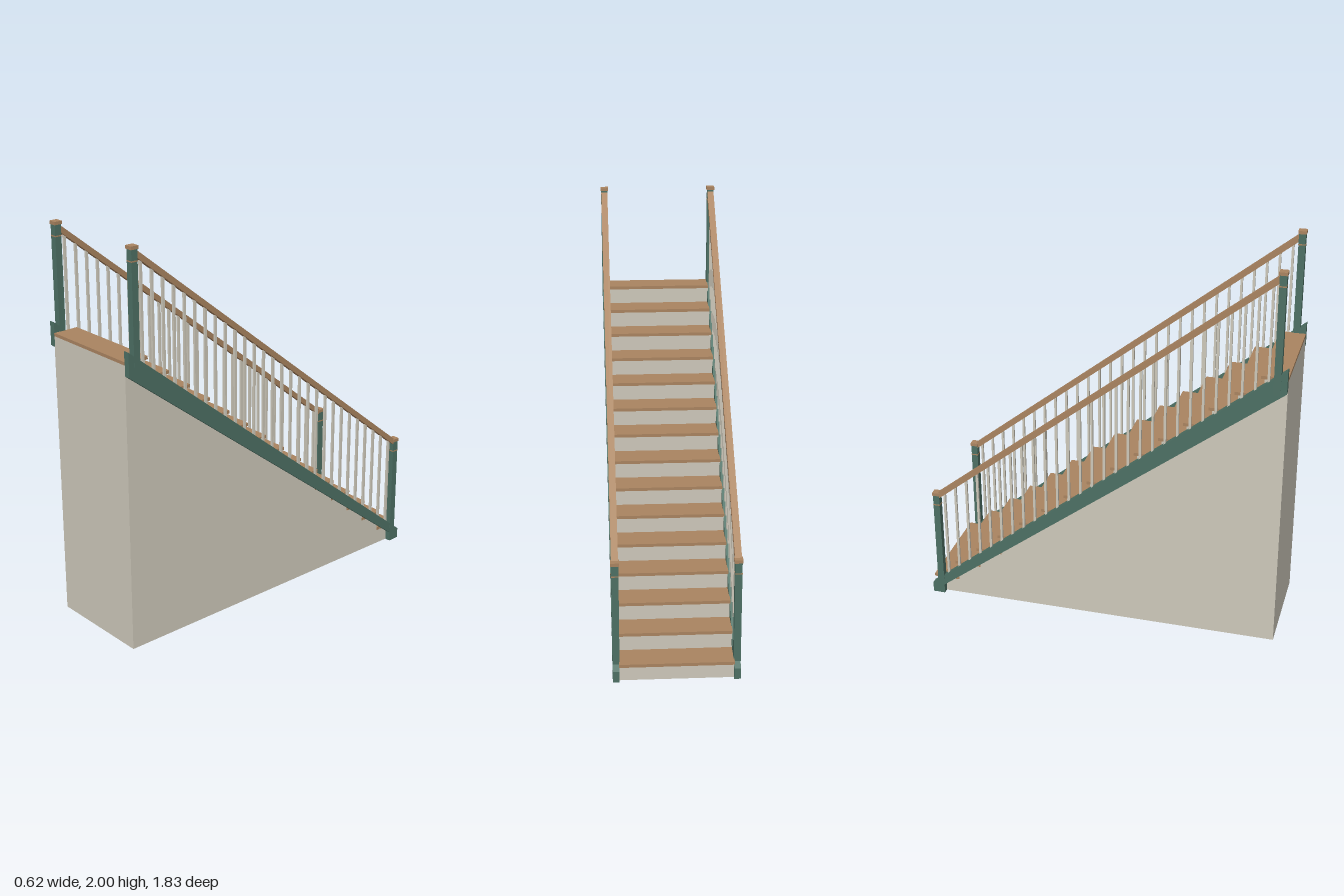
import * as THREE from 'three';

const mat = (color) => new THREE.MeshStandardMaterial({ color });

export function createModel() {
  const group = new THREE.Group();
  const wall = mat(0xcdc8ba), wood = mat(0xaa8460), green = mat(0x4d7064);

  const add = (name, geometry, material, x = 0, y = 0, z = 0) => {
    const mesh = new THREE.Mesh(geometry, material);
    mesh.name = name;
    mesh.position.set(x, y, z);
    group.add(mesh);
    return mesh;
  };
  const box = (name, material, w, h, d, x, y, z) =>
    add(name, new THREE.BoxGeometry(w, h, d), material, x, y, z);

  // Extrudes a side profile of [z, y] points across x, centred on x = 0
  const profile = (points, width) => {
    const shape = new THREE.Shape(points.map(([z, y]) => new THREE.Vector2(z, y)));
    const g = new THREE.ExtrudeGeometry(shape, { depth: width, bevelEnabled: false });
    return g.translate(0, 0, -width / 2).rotateY(-Math.PI / 2);
  };

  const steps = 15, run = 0.1217, rise = 0.0982, end = 0.917;
  const thick = 0.016, nosing = 0.018;
  const sideX = 0.288, sideW = 0.032;
  const treadTop = (i) => 0.093 + i * rise;
  const treadFront = (i) => -end + i * run;

  // Solid stepped base with risers
  const outline = [[end, 0]];
  outline.push([end, treadTop(steps - 1) - thick]);
  for (let i = steps - 1; i >= 0; i--) {
    const z = treadFront(i) + nosing;
    outline.push([z, treadTop(i) - thick]);
    outline.push([z, i ? treadTop(i - 1) - thick : 0]);
  }
  add('steppedBase', profile(outline, 0.55), wall);

  // Treads
  for (let i = 0; i < steps; i++) {
    const front = treadFront(i);
    const back = i === steps - 1 ? end : front + run + nosing;
    box('tread', wood, 0.548, thick, back - front, 0, treadTop(i) - thick / 2, (front + back) / 2);
  }

  const stringerTop = (z) => 0.788 + 0.799 * z;
  const railY = (z) => 1.279 + 0.797 * z;

  for (const side of [-1, 1]) {
    const x = side * sideX;

    // Sloping stringer with plumb-cut ends
    add('stringer', profile([
      [end, 1.4], [end, stringerTop(end)], [-end, stringerTop(-end)],
      [-end, 0], [-0.853, 0], [-0.853, 0.05],
    ], sideW), green, x);

    // Newel posts with trim band and cap
    for (const [z, y0, y1] of [[0.87, 1.39, 2], [-0.87, 0, 0.61]]) {
      box('newelPost', green, 0.034, y1 - y0 - 0.014, 0.034, x, (y0 + y1 - 0.014) / 2, z);
      box('postTrim', wood, 0.036, 0.006, 0.036, x, y1 - 0.07, z);
      box('postCap', wood, 0.041, 0.016, 0.041, x, y1 - 0.008, z);
    }

    // Handrail
    add('handrail', profile([
      [0.862, railY(0.862) - 0.017], [0.862, railY(0.862) + 0.017],
      [-0.862, railY(-0.862) + 0.017], [-0.862, railY(-0.862) - 0.017],
    ], 0.033), wood, x);

    // Balusters, two per step
    for (let i = 0; i < 28; i++) {
      const z = 0.827 - i * 0.0613;
      const bottom = stringerTop(z) - 0.01, top = railY(z);
      box('baluster', wall, 0.012, top - bottom, 0.012, x, (top + bottom) / 2, z);
    }
  }
  return group;
}
